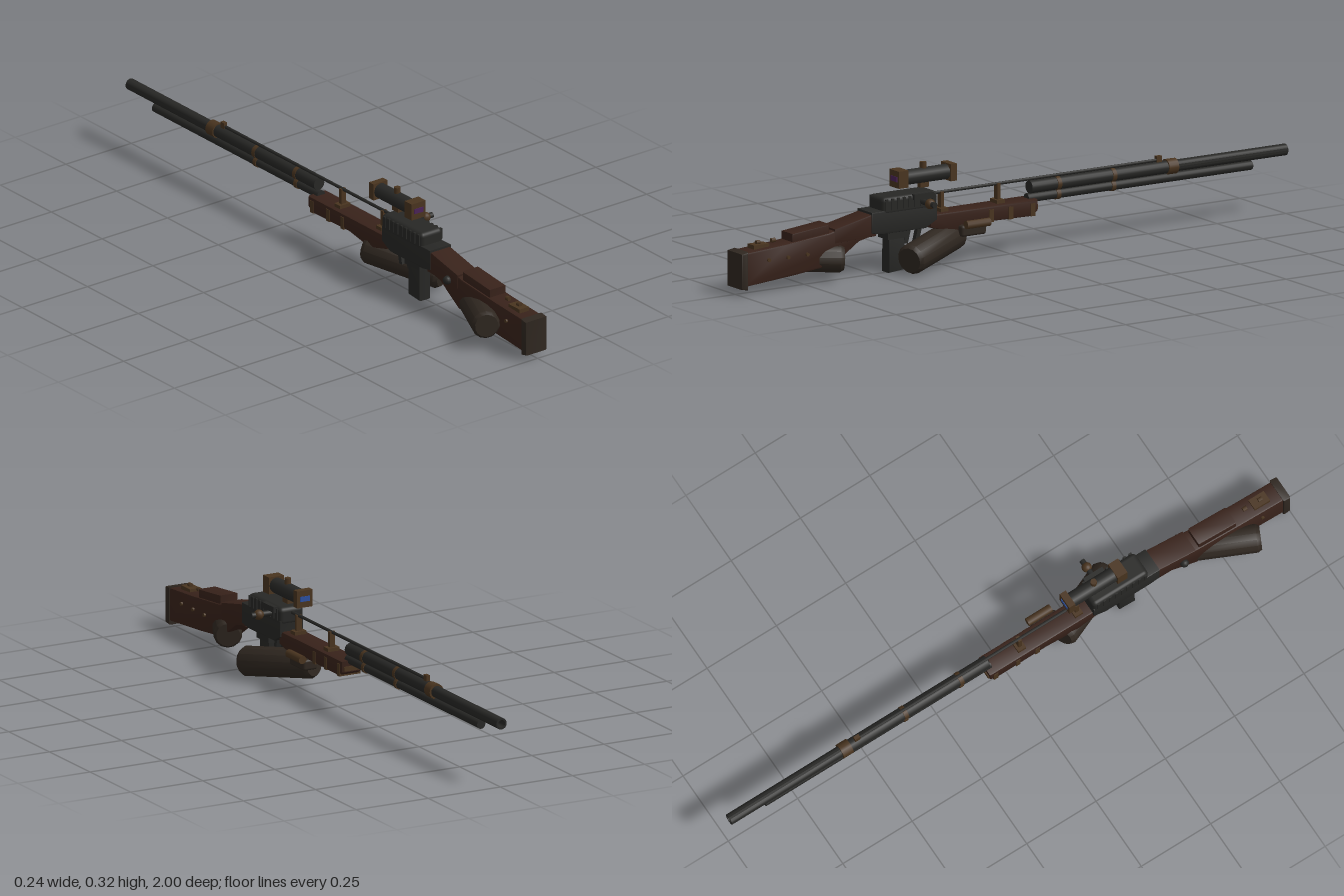
import * as THREE from 'three';
import { toCreasedNormals } from 'three/addons/utils/BufferGeometryUtils.js';
import { RoundedBoxGeometry } from 'three/addons/geometries/RoundedBoxGeometry.js';

const mat = (color) => new THREE.MeshStandardMaterial({ color });
const wood = mat(0x38221a), metal = mat(0x272725), bronze = mat(0x49341f),
  leather = mat(0x2f2720), purple = mat(0x4a2358), blue = mat(0x2c4fa0);

export function createModel() {
  const model = new THREE.Group();
  const core = new THREE.Group();
  core.name = 'rifle';
  core.position.x = -0.004;
  model.add(core);

  const add = (name, geo, material, x = 0, y = 0, z = 0, parent = core) => {
    const m = new THREE.Mesh(geo, material);
    m.name = name;
    m.position.set(x, y, z);
    parent.add(m);
    return m;
  };
  // Box given by its y and z ranges and its width
  const box = (name, material, w, y0, y1, z0, z1, x = 0) =>
    add(name, new THREE.BoxGeometry(w, y1 - y0, z1 - z0), material, x, (y0 + y1) / 2, (z0 + z1) / 2);
  // Cylinder along z
  const tube = (name, material, r, y, z0, z1, x = 0, sides = 16) =>
    add(name, new THREE.CylinderGeometry(r, r, z1 - z0, sides).rotateX(Math.PI / 2), material, x, y, (z0 + z1) / 2);
  // Side outline of [z, y] points, extruded across x with a bevel
  const slab = (name, material, w, pts, bevel = 0.006) => {
    const g = new THREE.ExtrudeGeometry(new THREE.Shape(pts.map((p) => new THREE.Vector2(...p))), {
      depth: w - 2 * bevel, bevelThickness: bevel, bevelSize: bevel, bevelOffset: -bevel, bevelSegments: 2,
    });
    g.translate(0, 0, bevel - w / 2).rotateY(-Math.PI / 2);
    return add(name, toCreasedNormals(g, 0.6), material);
  };
  // Slanted drum between two points, with chamfered ends
  const drum = (name, a, b, r) => {
    const A = new THREE.Vector3(...a), d = new THREE.Vector3(...b).sub(A), L = d.length();
    const prof = [[0, 0], [r * 0.82, 0], [r, 0.012], [r, L - 0.012], [r * 0.82, L], [0, L]];
    const g = new THREE.LatheGeometry(prof.map((p) => new THREE.Vector2(...p)), 14);
    const m = add(name, toCreasedNormals(g, 0.7), leather, ...a, model);
    m.quaternion.setFromUnitVectors(new THREE.Vector3(0, 1, 0), d.normalize());
  };

  // Shoulder stock
  slab('stock', wood, 0.072, [[0.985, 0.025], [0.985, 0.13], [0.84, 0.14], [0.68, 0.155], [0.5, 0.195],
    [0.5, 0.13], [0.57, 0.115], [0.66, 0.055], [0.8, 0.04]]);
  slab('buttPlate', leather, 0.082, [[0.975, 0.015], [1, 0.02], [1, 0.13], [0.975, 0.134]], 0.005);
  slab('cheekRest', wood, 0.062, [[0.81, 0.135], [0.81, 0.168], [0.675, 0.182], [0.675, 0.145]], 0.004);
  slab('stockWrist', wood, 0.076, [[0.66, 0.12], [0.66, 0.165], [0.51, 0.197], [0.51, 0.125]], 0.004);
  box('stockTopPlate', bronze, 0.036, 0.13, 0.146, 0.885, 0.94);
  for (const z of [0.915, 0.86]) tube('stockKnob', bronze, 0.007, 0.15, z - 0.007, z + 0.007, 0, 8);
  for (const z of [0.76, 0.83, 0.9])
    add('stockStud', new THREE.CylinderGeometry(0.006, 0.006, 0.084, 8).rotateZ(Math.PI / 2), bronze, 0, 0.1, z);
  add('wristStud', new THREE.SphereGeometry(0.014, 10, 8), metal, -0.042, 0.135, 0.615);

  // Slanted drums beneath the stock and the receiver
  drum('stockDrum', [0.028, 0.07, 0.625], [-0.088, 0.083, 0.863], 0.044);
  drum('foreDrum', [-0.022, 0.085, 0.185], [0.086, 0.049, 0.425], 0.047);

  // Receiver
  slab('receiver', metal, 0.082, [[0.528, 0.135], [0.528, 0.2], [0.29, 0.2], [0.29, 0.15], [0.33, 0.128], [0.49, 0.128]], 0.004);
  add('receiverTop', new RoundedBoxGeometry(0.084, 0.056, 0.2, 3, 0.014), metal, 0, 0.212, 0.388);
  for (let i = 0; i < 9; i++) box('receiverRib', metal, 0.089, 0.2, 0.235, 0.302 + i * 0.021, 0.311 + i * 0.021);
  slab('magazine', metal, 0.042, [[0.395, 0.005], [0.395, 0.14], [0.45, 0.14], [0.452, 0]], 0.004);
  box('magazineCollar', metal, 0.055, 0.105, 0.135, 0.385, 0.46);
  box('boltHousing', metal, 0.014, 0.222, 0.24, 0.31, 0.38, 0.045);
  add('boltHandle', new THREE.CylinderGeometry(0.009, 0.009, 0.07, 10).rotateZ(Math.PI / 2), metal, 0.075, 0.213, 0.345);
  add('boltBall', new THREE.SphereGeometry(0.016, 12, 10), bronze, 0.084, 0.213, 0.345);

  // Forestock with its bands and side latch
  slab('forestock', wood, 0.07, [[0.31, 0.165], [-0.08, 0.165], [-0.08, 0.13], [-0.06, 0.115], [0.12, 0.118], [0.22, 0.1], [0.31, 0.125]]);
  for (const z of [-0.06, 0.02, 0.09]) box('forestockBand', bronze, 0.074, 0.116, 0.155, z - 0.008, z + 0.008);
  box('bandPlate', bronze, 0.058, 0.134, 0.148, -0.084, -0.05);
  for (const z of [0.335, 0.375]) {
    const strut = box('drumStrut', metal, 0.016, 0.08, 0.14, z - 0.007, z + 0.007);
    strut.rotation.x = -0.25;
  }
  add('latchBody', new RoundedBoxGeometry(0.05, 0.035, 0.09, 2, 0.008), leather, 0.03, 0.104, 0.165);
  tube('latchRoller', bronze, 0.013, 0.125, 0.115, 0.2, 0.061, 10);

  // Barrel with a hollow muzzle, and the tube below it
  const bore = [[0, 0], [0.018, 0], [0.018, 0.93], [0.012, 0.93], [0.012, 0.88], [0, 0.88]];
  const barrel = new THREE.LatheGeometry(bore.map((p) => new THREE.Vector2(...p)), 16).rotateX(-Math.PI / 2);
  add('barrel', toCreasedNormals(barrel, 0.7), metal, 0, 0.198, -0.07);
  tube('barrelSleeve', metal, 0.02, 0.198, -0.58, -0.07);
  tube('lowerTube', metal, 0.0145, 0.165, -0.875, -0.06);
  for (const z of [-0.17, -0.37]) {
    tube('barrelBand', bronze, 0.0215, 0.198, z - 0.007, z + 0.007);
    tube('lowerBand', bronze, 0.017, 0.165, z - 0.007, z + 0.007);
  }
  tube('frontBand', bronze, 0.024, 0.198, -0.6, -0.565);
  box('frontBandLink', bronze, 0.018, 0.158, 0.198, -0.595, -0.57);

  // Thin rod above the forestock, its posts and the front sight
  tube('topRod', metal, 0.005, 0.223, -0.54, 0.3, 0, 8);
  for (const z of [0.25, 0.045]) {
    box('rodPost', bronze, 0.018, 0.16, 0.225, z - 0.006, z + 0.006);
    box('rodPostFoot', bronze, 0.04, 0.163, 0.176, z - 0.014, z + 0.014);
  }
  box('frontSight', bronze, 0.012, 0.215, 0.236, -0.548, -0.53);

  // Scope
  tube('scopeBody', metal, 0.024, 0.284, 0.22, 0.4, 0, 12);
  box('scopeRearCap', bronze, 0.053, 0.258, 0.311, 0.385, 0.42);
  box('scopeFrontCap', bronze, 0.053, 0.258, 0.311, 0.21, 0.232);
  box('rearLens', purple, 0.034, 0.277, 0.293, 0.415, 0.422);
  box('frontLens', blue, 0.034, 0.277, 0.293, 0.208, 0.215);
  add('scopeTurret', new THREE.CylinderGeometry(0.01, 0.01, 0.024, 10), bronze, 0, 0.313, 0.315);
  box('scopeFoot', bronze, 0.018, 0.247, 0.266, 0.3, 0.33);

  return model;
}
